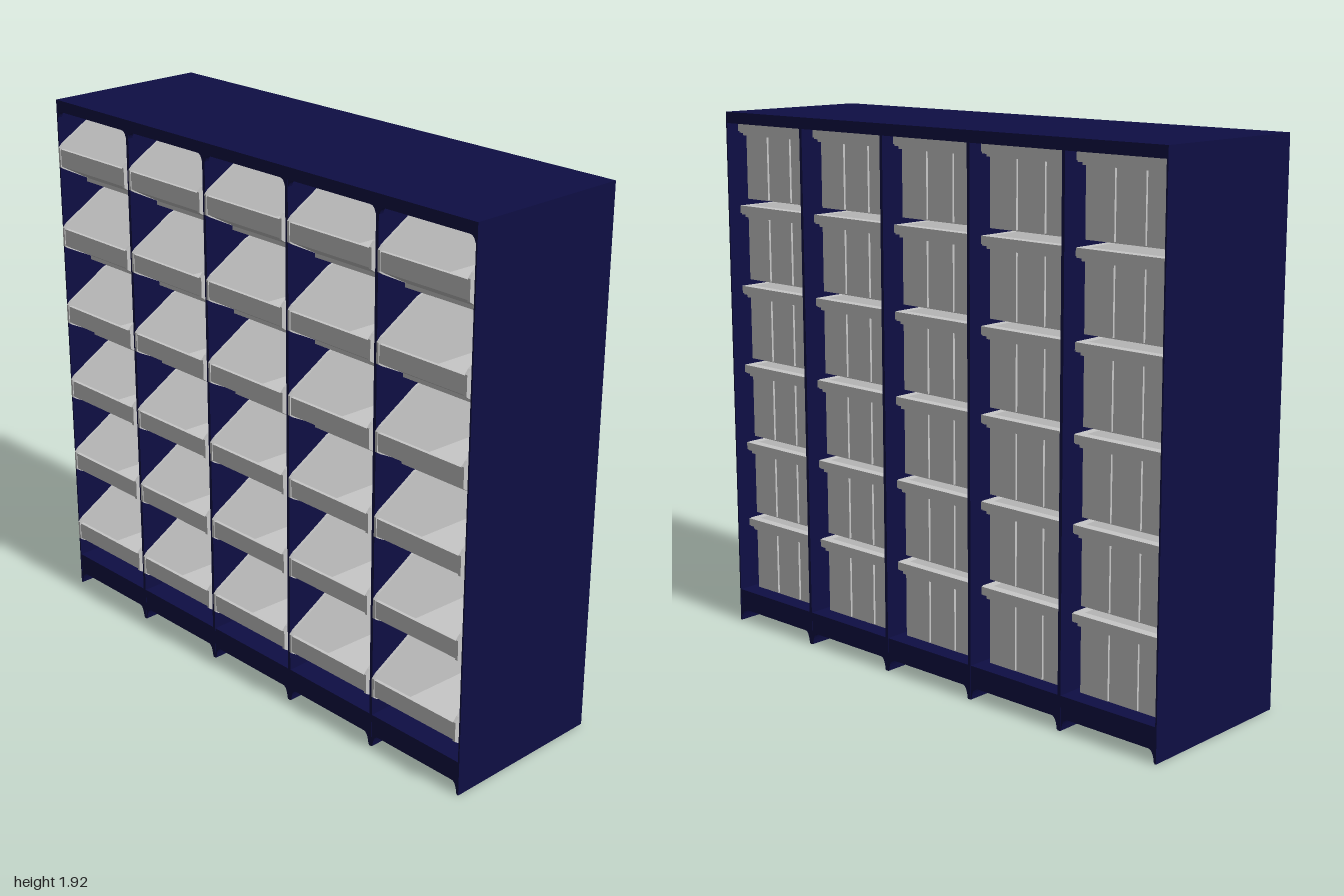
import * as THREE from 'three';
import { mergeGeometries } from 'three/addons/utils/BufferGeometryUtils.js';

const navy = new THREE.MeshStandardMaterial({ color: 0x0e0e44 });
navy.name = 'navy';
const grey = new THREE.MeshStandardMaterial({ color: 0xc8c8c8 });
grey.name = 'light grey';

const COLS = 5, ROWS = 6, PITCH = 0.4, ROW = 0.296, FIRST = 0.125;
const HEIGHT = 1.92, FRONT = 0.305, BACK = -0.315, DEPTH = FRONT - BACK;
const BIN_H = 0.272, HALF = 0.187, BIN_BACK = -0.255;

function box(x0, x1, y0, y1, z0, z1) {
  const g = new THREE.BoxGeometry(x1 - x0, y1 - y0, z1 - z0);
  g.translate((x0 + x1) / 2, (y0 + y1) / 2, (z0 + z1) / 2);
  return g.toNonIndexed();
}

// Extrudes a (z, y) outline across x from x0 to x1
function acrossX(points, x0, x1) {
  const shape = new THREE.Shape(points.map(p => new THREE.Vector2(...p)));
  const g = new THREE.ExtrudeGeometry(shape, { depth: x1 - x0, bevelEnabled: false });
  return g.rotateY(-Math.PI / 2).translate(x1, 0, 0);
}

// Bins narrow towards the back
function taper(g) {
  const p = g.attributes.position;
  for (let i = 0; i < p.count; i++) {
    const t = (p.getZ(i) - BIN_BACK) / (0.315 - BIN_BACK);
    p.setX(i, p.getX(i) * (0.86 + 0.14 * Math.min(1, Math.max(0, t))));
  }
  g.computeVertexNormals();
  return g;
}

function binGeometry() {
  const parts = [];
  // back wall, floor, sloping front and lip as one bent sheet
  parts.push(taper(acrossX([
    [BIN_BACK, BIN_H], [BIN_BACK, 0], [0.2, 0], [0.2, 0.014], [0.302, 0.072], [0.312, 0.078], [0.312, 0.14],
    [0.3, 0.14], [0.3, 0.084], [0.19, 0.022], [0.19, 0.01], [BIN_BACK + 0.01, 0.01], [BIN_BACK + 0.01, BIN_H],
  ], -HALF + 0.004, HALF - 0.004)));
  // side walls with the cut-away front edge
  const side = [[BIN_BACK, 0], [0.2, 0], [0.2, 0.014], [0.302, 0.066], [0.315, 0.075], [0.315, 0.145],
    [0.3, 0.16], [0.19, 0.228], [0.15, 0.254], [0.11, 0.268], [0.09, BIN_H], [BIN_BACK, BIN_H]];
  for (const s of [-1, 1]) {
    const inner = s * (HALF - 0.01), outer = s * HALF;
    parts.push(taper(acrossX(side, Math.min(inner, outer), Math.max(inner, outer))));
    // side rim
    const a = s * 0.163, b = s * 0.186;
    parts.push(box(Math.min(a, b), Math.max(a, b), 0.238, BIN_H - 0.001, BIN_BACK - 0.01, 0.08));
    // vertical ribs on the back
    const r = s * 0.06;
    parts.push(box(r - 0.02, r + 0.02, 0.004, 0.24, BIN_BACK - 0.008, BIN_BACK + 0.002));
  }
  // rear rim with a stepped lower edge
  parts.push(box(-0.18, 0.18, 0.245, BIN_H, BIN_BACK - 0.022, BIN_BACK + 0.001));
  parts.push(box(-0.165, 0.165, 0.23, 0.245, BIN_BACK - 0.012, BIN_BACK + 0.001));
  return mergeGeometries(parts);
}

// Panel spanning one bay, with curved corners on its lower edge
function bayPanel(y0, y1, drop, depth) {
  const h = PITCH / 2, w = 0.032;
  const s = new THREE.Shape();
  s.moveTo(-h, y1);
  s.lineTo(-h, y0 - drop);
  s.lineTo(-h + 0.009, y0 - drop);
  s.quadraticCurveTo(-h + 0.014, y0, -h + w, y0);
  s.lineTo(h - w, y0);
  s.quadraticCurveTo(h - 0.014, y0, h - 0.009, y0 - drop);
  s.lineTo(h, y0 - drop);
  s.lineTo(h, y1);
  return new THREE.ExtrudeGeometry(s, { depth, bevelEnabled: false, curveSegments: 6 });
}

export function createModel() {
  const model = new THREE.Group();
  model.name = 'binCabinet';
  const add = (parent, name, geometry, material, x = 0, y = 0, z = 0) => {
    const m = new THREE.Mesh(geometry, material);
    m.name = name;
    m.position.set(x, y, z);
    parent.add(m);
  };

  // Cabinet shell, open at front and back
  const cabinet = new THREE.Group();
  cabinet.name = 'cabinet';
  model.add(cabinet);
  add(cabinet, 'topPanel', box(-1, 1, 1.88, HEIGHT, BACK, FRONT), navy);
  for (let i = 0; i <= COLS; i++) {
    const x = -1 + i * PITCH;
    const x0 = Math.max(-1, x - 0.006), x1 = Math.min(1, x + 0.006);
    add(cabinet, i % COLS ? 'divider' : 'sidePanel', box(x0, x1, 0, 1.885, BACK, FRONT), navy);
  }
  const base = bayPanel(0.045, 0.122, 0.043, DEPTH - 0.002);
  const header = bayPanel(1.879, 1.9, 0.022, 0.015);
  for (let c = 0; c < COLS; c++) {
    const x = -0.8 + c * PITCH;
    add(cabinet, 'basePanel', base, navy, x, 0, BACK + 0.001);
    add(cabinet, 'headerCorners', header, navy, x, 0, FRONT - 0.016);
  }

  // Grid of open-fronted storage bins
  const bins = new THREE.Group();
  bins.name = 'bins';
  model.add(bins);
  const bin = binGeometry();
  for (let r = 0; r < ROWS; r++)
    for (let c = 0; c < COLS; c++)
      add(bins, 'storageBin', bin, grey, -0.8 + c * PITCH, FIRST + r * ROW, 0);

  return model;
}
